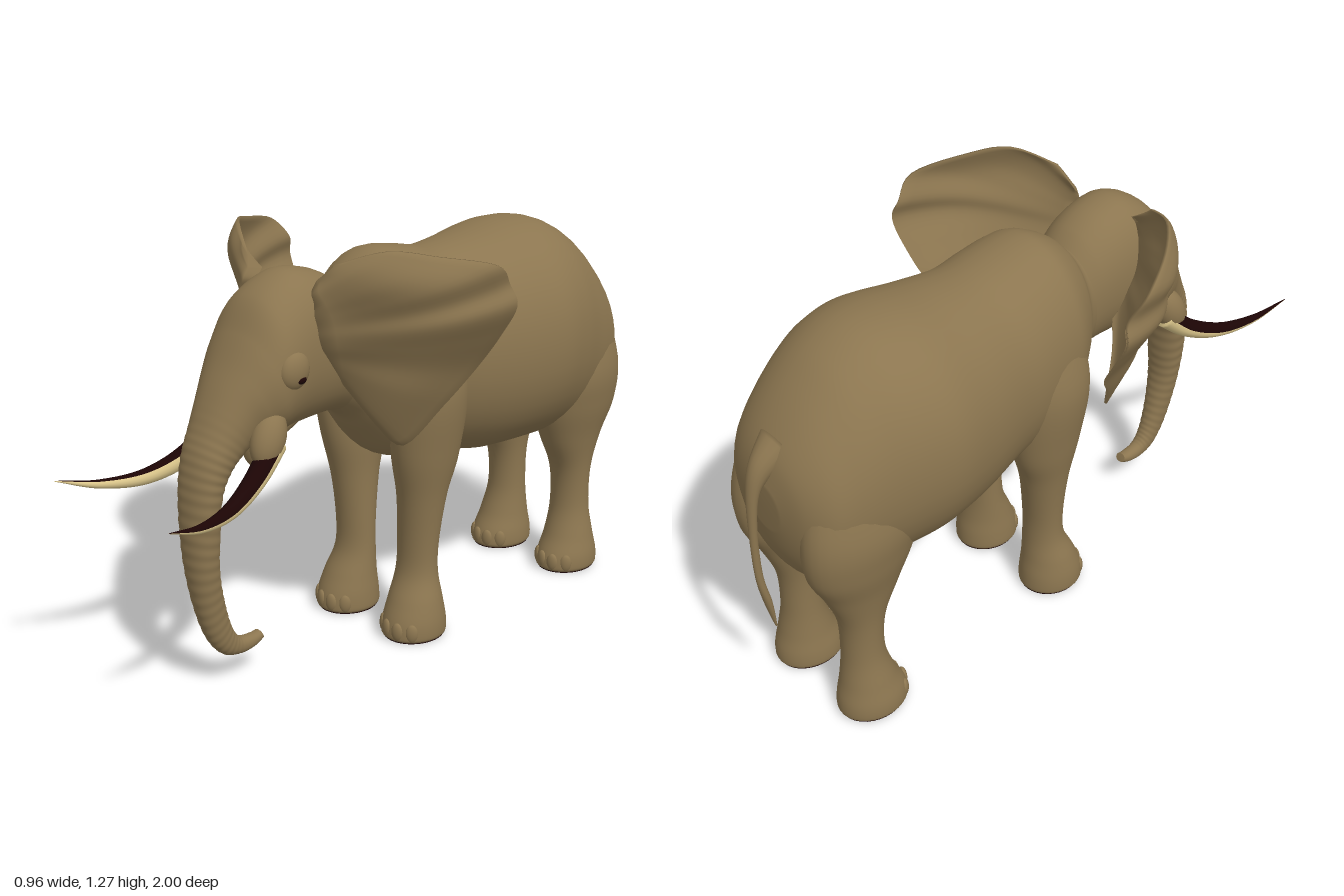
import * as THREE from 'three';

const paint = (name, color) => {
  const m = new THREE.MeshStandardMaterial({ color });
  m.name = name;
  return m;
};
const V = (x, y, z) => new THREE.Vector3(x, y, z);

// Closed skin over a series of closed rings; pick(j) chooses the material of each strip.
function skin(name, rings, mats, pick = () => 0) {
  const n = rings[0].length, pos = [], lists = mats.map(() => []);
  rings.forEach(r => r.forEach(p => pos.push(p.x, p.y, p.z)));
  for (let i = 0; i < rings.length - 1; i++)
    for (let j = 0; j < n; j++) {
      const k = (j + 1) % n, a = i * n + j, b = i * n + k, c = a + n, d = b + n;
      lists[pick(j)].push(a, b, c, b, d, c);
    }
  // End caps
  [0, rings.length - 1].forEach((i, end) => {
    const c = rings[i].reduce((s, p) => s.add(p), V(0, 0, 0)).divideScalar(n);
    const id = pos.push(c.x, c.y, c.z) / 3 - 1;
    for (let j = 0; j < n; j++) {
      const a = i * n + j, b = i * n + (j + 1) % n;
      lists[pick(j)].push(id, end ? a : b, end ? b : a);
    }
  });
  // Turn every face outward, whichever way the rings run
  const at = i => V(pos[3 * i], pos[3 * i + 1], pos[3 * i + 2]);
  let volume = 0;
  lists.forEach(l => {
    for (let i = 0; i < l.length; i += 3) volume += at(l[i]).dot(at(l[i + 1]).cross(at(l[i + 2])));
  });
  if (volume < 0) lists.forEach(l => l.reverse());
  const g = new THREE.BufferGeometry();
  g.setAttribute('position', new THREE.Float32BufferAttribute(pos, 3));
  g.setIndex(lists.flat());
  let start = 0;
  lists.forEach((l, m) => { g.addGroup(start, l.length, m); start += l.length; });
  g.computeVertexNormals();
  const mesh = new THREE.Mesh(g, mats.length > 1 ? mats : mats[0]);
  mesh.name = name;
  return mesh;
}

// Smooth interpolation between rows of numbers
function smooth(rows, steps) {
  const out = [], row = i => rows[Math.min(Math.max(i, 0), rows.length - 1)];
  for (let i = 0; i < rows.length - 1; i++)
    for (let s = 0; s < steps; s++) {
      const t = s / steps, [a, b, c, d] = [-1, 0, 1, 2].map(k => row(i + k));
      out.push(b.map((v, k) => 0.5 * (2 * v + (c[k] - a[k]) * t + (2 * a[k] - 5 * v + 4 * c[k] - d[k]) * t * t
        + (3 * v - a[k] - 3 * c[k] + d[k]) * t * t * t)));
    }
  out.push(rows[rows.length - 1]);
  return out;
}

// Rows: z,y of the upper/front edge, z,y of the lower/back edge, half width, centre x
function loft(name, rows, mat, { side = 1, steps = 6, sides = 40, power = 1, swell = () => 1 } = {}) {
  const bend = v => Math.sign(v) * Math.abs(v) ** power;
  const rings = smooth(rows, steps).map(([az, ay, bz, by, w, cx = 0], i) => {
    const f = swell(i / steps);
    return Array.from({ length: sides }, (_, j) => {
      const t = j / sides * Math.PI * 2, c = bend(Math.cos(t)) * f / 2, s = bend(Math.sin(t)) * f;
      return V(side * (cx + w * s), (ay + by) / 2 + (ay - by) * c, (az + bz) / 2 + (az - bz) * c);
    });
  });
  return skin(name, rings, [mat]);
}

function ball(name, mat, p, r, rot = [0, 0, 0]) {
  const m = new THREE.Mesh(new THREE.SphereGeometry(1, 24, 16), mat);
  m.name = name;
  m.position.set(...p);
  m.scale.set(...r);
  m.rotation.set(...rot);
  return m;
}

// Ear: rays from a root line to a wavy rim, each a thin closed section
function ear(side, mat) {
  // root x,y,z, rim x,y,z, outward bulge
  const rays = [
    [.13, 1.17, .37, .19, 1.225, .36, .005], [.13, 1.14, .39, .31, 1.268, .28, .025],
    [.14, 1.11, .39, .40, 1.25, .17, .05], [.14, 1.08, .39, .472, 1.215, .02, .075],
    [.145, 1.05, .385, .462, 1.15, -.045, .08], [.145, 1.02, .38, .477, 1.09, -.06, .08],
    [.145, .99, .37, .43, 1.0, -.05, .07], [.145, .96, .35, .37, .9, -.02, .06],
    [.145, .93, .33, .315, .79, .06, .045], [.145, .9, .31, .235, .67, .14, .02],
    [.14, .87, .29, .19, .74, .21, .005],
  ];
  const K = 12, n = V(.79, 0, .61);
  const rings = smooth(rays, 5).map(([rx, ry, rz, ex, ey, ez, bulge]) => {
    const point = (k, face) => {
      const t = k / K, thick = .004 + .016 * (1 - t);
      const p = V(rx, ry, rz).lerp(V(ex, ey, ez), t)
        .addScaledVector(n, bulge * Math.sin(Math.PI * t ** 1.2) + face * thick);
      p.x *= side;
      return p;
    };
    const ks = Array.from({ length: K + 1 }, (_, k) => k);
    return [...ks.map(k => point(k, 1)), ...ks.reverse().map(k => point(k, -1))];
  });
  return skin('ear', rings, [mat]);
}

// Tusk: curved horn, dark along its upper outer face
function tusk(side, ivory, dark) {
  const path = new THREE.CatmullRomCurve3([V(.125, .745, .53), V(.148, .67, .62), V(.185, .622, .74),
    V(.225, .622, .87), V(.257, .655, .995)]);
  const rings = Array.from({ length: 33 }, (_, i) => {
    const u = i / 32, c = path.getPoint(u), t = path.getTangent(u);
    const out = V(1, 0, 0).addScaledVector(t, -t.x).normalize(), up = t.clone().cross(out).normalize();
    const r = .034 * (1 - u ** 1.5) + .001;
    return Array.from({ length: 16 }, (_, j) => {
      const a = j / 16 * Math.PI * 2;
      const p = c.clone().addScaledVector(out, r * Math.cos(a)).addScaledVector(up, r * Math.sin(a));
      p.x *= side;
      return p;
    });
  });
  return skin('tusk', rings, [ivory, dark], j => (j < 6 ? 1 : 0));
}

export function createModel() {
  const model = new THREE.Group();
  const hide = paint('hide', 0x8c7650), ivory = paint('ivory', 0xdcc78c), dark = paint('dark', 0x1c0505);

  // Barrel body, from neck to rump
  model.add(loft('body', [
    [.28, 1.1, .28, .78, .11], [.18, 1.1, .18, .72, .14], [.13, 1.15, .13, .66, .18], [.06, 1.192, .06, .58, .225],
    [0, 1.2, 0, .55, .24], [-.1, 1.185, -.1, .54, .25], [-.2, 1.17, -.2, .52, .258], [-.35, 1.185, -.35, .49, .292],
    [-.5, 1.208, -.5, .485, .32], [-.62, 1.205, -.62, .48, .302], [-.72, 1.165, -.72, .48, .272],
    [-.8, 1.1, -.8, .49, .248], [-.87, 1.02, -.88, .52, .215], [-.92, .94, -.92, .6, .15], [-.945, .85, -.94, .7, .06],
  ], hide, { power: .95 }));

  // Skull running on into the trunk, which is ringed with folds
  model.add(loft('headAndTrunk', [
    [.16, 1.08, .2, .74, .125], [.22, 1.14, .25, .75, .14], [.3, 1.18, .31, .75, .15], [.4, 1.19, .38, .745, .155],
    [.5, 1.135, .44, .74, .162], [.56, 1.04, .475, .74, .158], [.605, .96, .51, .74, .138], [.645, .89, .54, .73, .115],
    [.69, .8, .58, .7, .095], [.725, .72, .62, .66, .084], [.745, .62, .648, .6, .075], [.752, .5, .655, .48, .064],
    [.746, .38, .655, .38, .053], [.725, .26, .64, .29, .042], [.69, .16, .62, .21, .034],
    [.64, .098, .6, .16, .029], [.58, .08, .575, .132, .025], [.53, .085, .53, .125, .022], [.495, .1, .505, .128, .018],
  ], hide, {
    steps: 20, power: .92,
    swell: u => 1 + .014 * Math.sin(u * 6 * Math.PI) * THREE.MathUtils.smoothstep(u, 7, 10) * (1 - THREE.MathUtils.smoothstep(u, 15, 17)),
  }));

  // Lower jaw
  model.add(loft('lowerJaw', [
    [.5, .8, .34, .78, .1], [.51, .75, .4, .745, .08], [.525, .705, .46, .715, .052],
    [.525, .665, .495, .675, .03], [.516, .645, .508, .65, .008],
  ], hide));

  // Tail with a small tuft
  model.add(loft('tail', [
    [-.9, 1.0, -.86, .9, .06], [-.963, .93, -.925, .87, .034], [-.99, .84, -.96, .82, .02], [-.999, .7, -.975, .7, .012],
    [-.998, .55, -.975, .55, .01], [-.98, .44, -.958, .44, .014], [-.956, .34, -.95, .34, .003],
  ], hide, { sides: 16 }));

  const frontLeg = [
    [.08, 1.0, -.16, 1.0, .07, .14], [.1, .8, -.17, .8, .095, .172], [.085, .61, -.15, .58, .09, .157],
    [.05, .45, -.11, .45, .075, .147], [.035, .3, -.085, .3, .068, .138], [.04, .2, -.082, .2, .07, .137],
    [.075, .12, -.09, .12, .085, .145], [.1, .06, -.1, .06, .095, .148], [.107, .015, -.103, .015, .097, .148],
    [.1, .003, -.098, .003, .09, .148],
  ];
  const hindLeg = [
    [-.58, .92, -.88, .92, .09, .13], [-.55, .72, -.93, .72, .115, .15], [-.57, .6, -.925, .58, .108, .147],
    [-.63, .47, -.875, .47, .085, .142], [-.69, .35, -.832, .35, .068, .14], [-.7, .22, -.828, .22, .066, .14],
    [-.675, .12, -.842, .12, .08, .145], [-.645, .055, -.857, .055, .093, .147], [-.637, .015, -.86, .015, .095, .147],
    [-.645, .003, -.853, .003, .088, .147],
  ];

  for (const side of [1, -1]) {
    for (const [name, rows] of [['frontLeg', frontLeg], ['hindLeg', hindLeg]]) {
      model.add(loft(name, rows, hide, { side, sides: 32 }));
      // Dark sole
      const [az, , bz, , w, cx] = rows[rows.length - 1], mid = (az + bz) / 2, half = (az - bz) / 2;
      const sole = new THREE.Mesh(new THREE.CylinderGeometry(1, 1, .004, 32), dark);
      sole.name = 'sole';
      sole.scale.set(w, 1, half);
      sole.position.set(side * cx, .002, mid);
      model.add(sole);
      // Toenails
      for (const a of [-.75, -.25, .25, .75])
        model.add(ball('toenail', hide, [side * cx + w * Math.sin(a), .035, mid + half * Math.cos(a)], [.02, .03, .012], [0, a, 0]));
    }
    model.add(ear(side, hide), tusk(side, ivory, dark));
    model.add(ball('tuskSocket', hide, [side * .122, .765, .55], [.046, .085, .052], [-.5, 0, side * .15]));
    model.add(ball('brow', hide, [side * .148, .945, .475], [.03, .055, .05], [-.4, 0, 0]));
    model.add(ball('eye', dark, [side * .168, .922, .468], [.011, .012, .018]));
  }
  return model;
}
